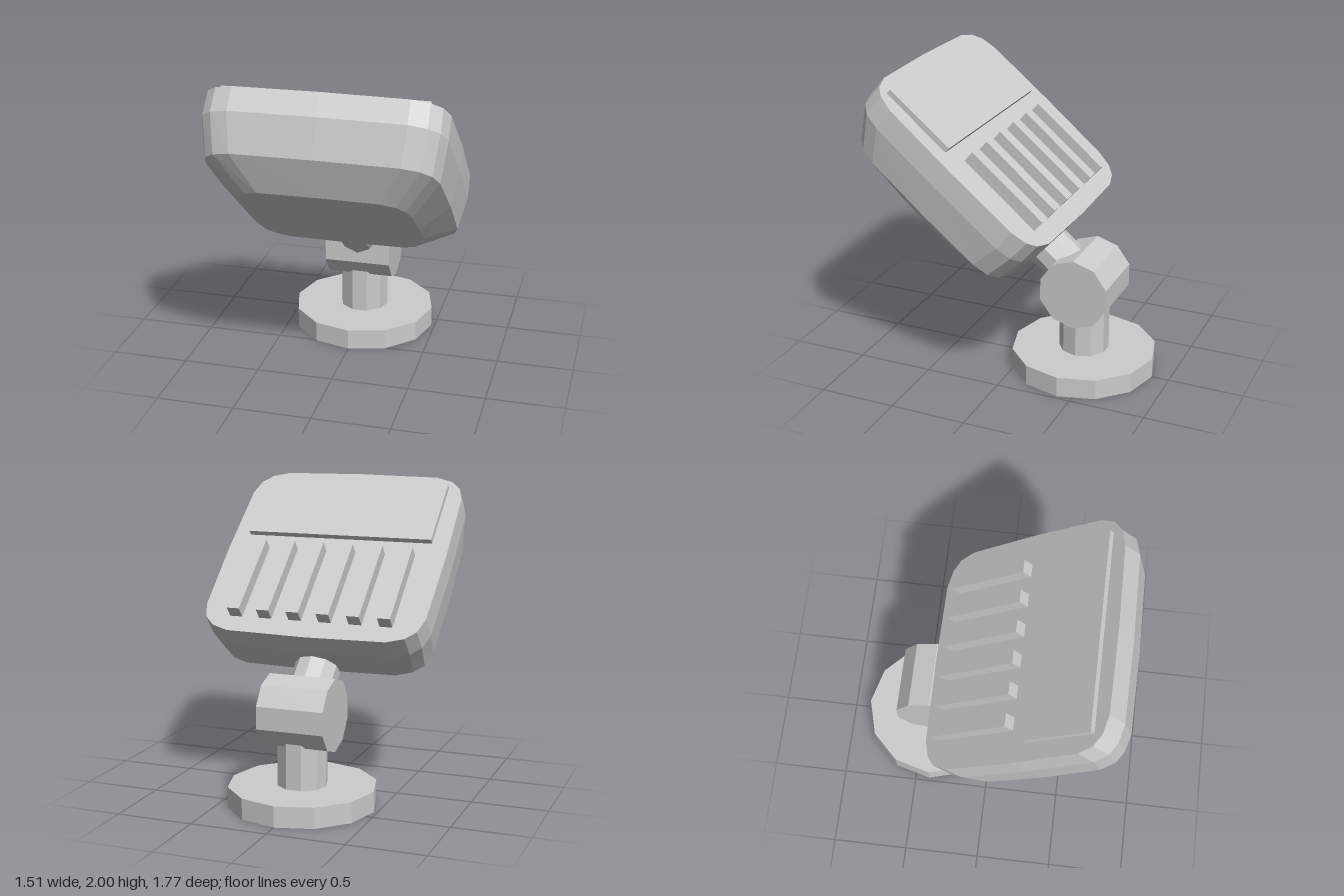
import * as THREE from 'three';

const grey = new THREE.MeshStandardMaterial({ color: 0xcccccc });
grey.name = 'plain grey';

function addPart(parent, name, geometry, x = 0, y = 0, z = 0) {
  const flat = geometry.index ? geometry.toNonIndexed() : geometry;
  flat.computeVertexNormals();
  const mesh = new THREE.Mesh(flat, grey);
  mesh.name = name;
  mesh.position.set(x, y, z);
  parent.add(mesh);
  return mesh;
}

// Rounded, slightly bowed rectangle in the xz plane, running from +x towards +z
function ring({ y, z0, z1, w, cx, cz0, cz1 }) {
  const insetX = [0, 0.16, 0.47, 1], insetZ = [1, 0.48, 0.18, 0], bow = 0.01;
  const mid = (z0 + z1) / 2, half = (z1 - z0) / 2;
  const corner = (sx, sz) => insetX.map((f, i) => [
    sx * (w - bow - f * cx), y,
    mid + sz * (half - bow - insetZ[i] * (sz > 0 ? cz1 : cz0)),
  ]);
  return [
    [w, y, mid], ...corner(1, 1),
    [0, y, z1], ...corner(-1, 1).reverse(),
    [-w, y, mid], ...corner(-1, -1),
    [0, y, z0], ...corner(1, -1).reverse(),
  ];
}

// Skin a stack of rings from top to bottom and close both ends
function loft(rings) {
  const pos = [], n = rings[0].length;
  const tri = (...points) => points.forEach((p) => pos.push(...p));
  const centre = (r) => [0, r[0][1], (r[0][2] + r[n / 2][2]) / 2];
  const top = rings[0], bottom = rings[rings.length - 1];
  for (let j = 0; j < n; j++) {
    const k = (j + 1) % n;
    tri(centre(top), top[k], top[j]);
    tri(centre(bottom), bottom[j], bottom[k]);
    for (let i = 0; i + 1 < rings.length; i++) {
      const a = rings[i], b = rings[i + 1];
      tri(a[j], a[k], b[j]);
      tri(a[k], b[k], b[j]);
    }
  }
  const geometry = new THREE.BufferGeometry();
  geometry.setAttribute('position', new THREE.Float32BufferAttribute(pos, 3));
  return geometry;
}

export function createModel() {
  const model = new THREE.Group();
  model.name = 'swivelHeadOnStand';
  const axisZ = -0.406;

  // Stand: twelve-sided foot, ten-sided post and pivot barrel
  addPart(model, 'base', new THREE.CylinderGeometry(0.478, 0.478, 0.135, 12), 0, 0.0675, axisZ);
  addPart(model, 'post',
    new THREE.CylinderGeometry(0.163, 0.163, 0.36, 10, 1, false, Math.PI / 10), 0, 0.315, axisZ);
  const barrel = new THREE.CylinderGeometry(0.236, 0.236, 0.44, 10).rotateY(Math.PI / 2);
  addPart(model, 'pivotBarrel', barrel.rotateZ(Math.PI / 2), 0, 0.6, axisZ);

  // Everything above the pivot is laid out flat, then tilted back
  const head = new THREE.Group();
  head.name = 'tiltedHead';
  head.rotation.x = -0.695;
  model.add(head);

  addPart(head, 'arm', new THREE.CylinderGeometry(0.147, 0.147, 0.4, 10).rotateX(Math.PI / 2), 0, 0.722, 0.275);

  // Housing: rounded box tapering to a smaller face
  addPart(head, 'housing', loft([
    { y: 1.069, z0: 0.4, z1: 1.841, w: 0.752, cx: 0.21, cz0: 0.2, cz1: 0.2 },
    { y: 0.913, z0: 0.402, z1: 1.841, w: 0.757, cx: 0.21, cz0: 0.2, cz1: 0.2 },
    { y: 0.69, z0: 0.434, z1: 1.729, w: 0.725, cx: 0.2, cz0: 0.2, cz1: 0.2 },
    { y: 0.541, z0: 0.602, z1: 1.494, w: 0.547, cx: 0.16, cz0: 0.24, cz1: 0.21 },
  ].map(ring)));

  // Raised panel and a row of cooling fins on the outer face
  addPart(head, 'panel', new THREE.BoxGeometry(1.27, 0.057, 0.501), 0, 1.077, 1.486);
  for (let i = 0; i < 6; i++) {
    addPart(head, 'fin', new THREE.BoxGeometry(0.084, 0.1, 0.598), (i - 2.5) * 0.202, 1.1, 0.827);
  }
  return model;
}
